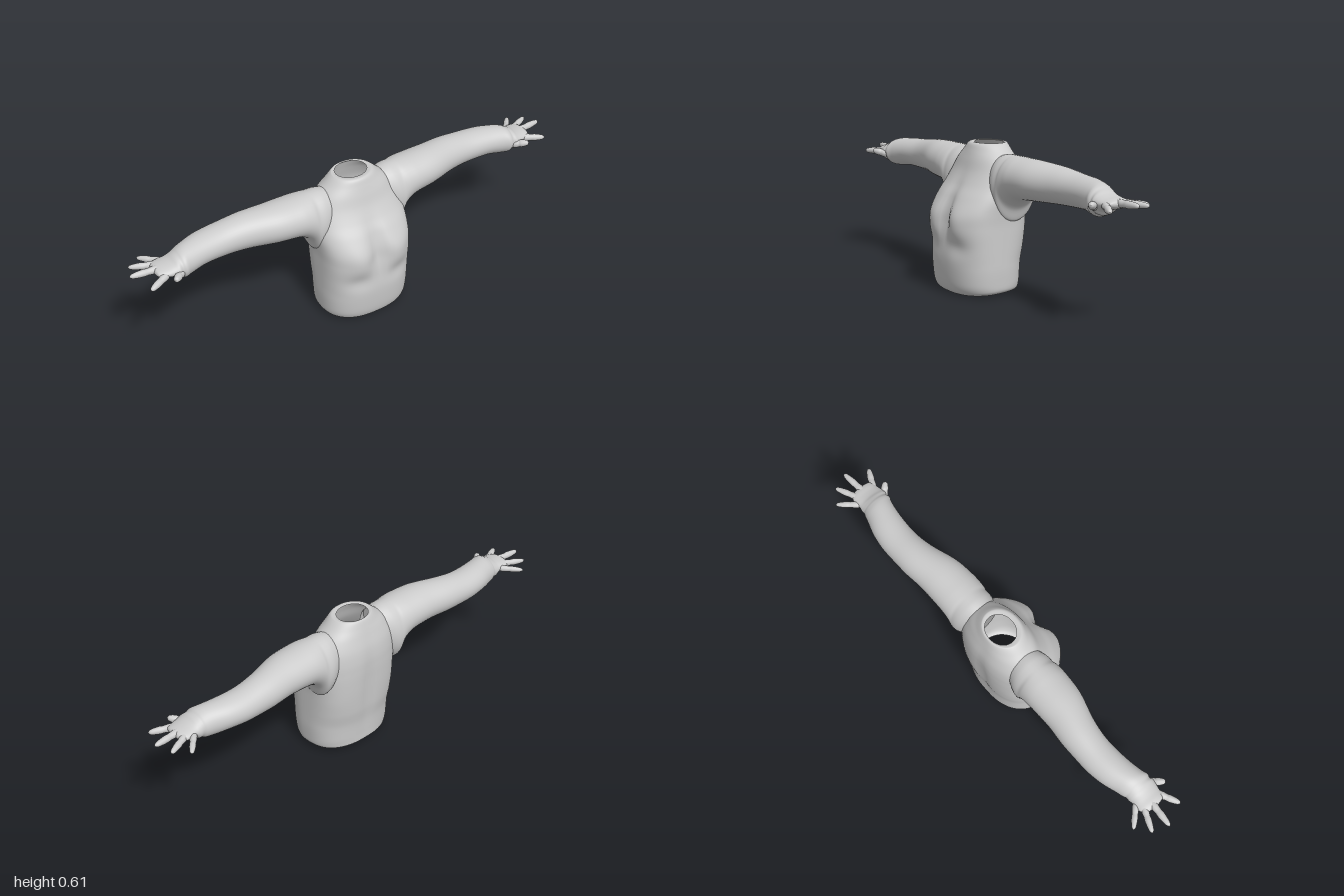
import * as THREE from 'three';

const material = new THREE.MeshStandardMaterial({ color: 0xcccccc, side: THREE.DoubleSide });
const gauss = (d, w) => Math.exp(-(d * d) / (w * w));

// Smooth interpolation through rows of section values, u in 0..1
function sampleRows(rows, u) {
  const f = u * (rows.length - 1);
  const i = Math.min(Math.floor(f), rows.length - 2);
  const t = f - i;
  const row = (k) => rows[Math.max(0, Math.min(rows.length - 1, k))];
  const [a, b, c, d] = [row(i - 1), row(i), row(i + 1), row(i + 2)];
  return b.map((p, k) => {
    // tangents limited so the outline never overshoots
    const m = (l, p0, r) => ((p0 - l) * (r - p0) <= 0 ? 0 : (r - l) / 2);
    const m1 = m(a[k], p, c[k]);
    const m2 = m(p, c[k], d[k]);
    const t2 = t * t, t3 = t2 * t;
    return (2 * t3 - 3 * t2 + 1) * p + (t3 - 2 * t2 + t) * m1 + (3 * t2 - 2 * t3) * c[k] + (t3 - t2) * m2;
  });
}

// Closed rings joined into a tube with open ends
function loft(point, rings, sides, flip = false) {
  const pos = [], index = [];
  for (let r = 0; r <= rings; r++) {
    for (let s = 0; s < sides; s++) pos.push(...point(r / rings, (s / sides) * Math.PI * 2));
  }
  for (let r = 0; r < rings; r++) {
    for (let s = 0; s < sides; s++) {
      const n = (s + 1) % sides;
      const a = r * sides + s, b = r * sides + n, c = a + sides, d = b + sides;
      if (flip) index.push(a, c, b, b, c, d);
      else index.push(a, b, c, b, d, c);
    }
  }
  const geometry = new THREE.BufferGeometry();
  geometry.setAttribute('position', new THREE.Float32BufferAttribute(pos, 3));
  geometry.setIndex(index);
  geometry.computeVertexNormals();
  return geometry;
}

function addMesh(parent, name, geometry) {
  const mesh = new THREE.Mesh(geometry, material);
  mesh.name = name;
  parent.add(mesh);
  return mesh;
}

// Torso sections: y, half width, back z, front z, squareness
const torsoRows = [
  [0.0, 0.182, -0.139, 0.138, 2.4],
  [0.015, 0.193, -0.14, 0.155, 2.4],
  [0.05, 0.197, -0.141, 0.165, 2.5],
  [0.12, 0.2, -0.145, 0.172, 2.5],
  [0.2, 0.2, -0.155, 0.175, 2.7],
  [0.28, 0.2, -0.161, 0.173, 2.9],
  [0.34, 0.203, -0.164, 0.167, 2.8],
  [0.4, 0.208, -0.166, 0.138, 2.5],
  [0.45, 0.205, -0.165, 0.102, 2.3],
  [0.5, 0.19, -0.158, 0.073, 2.2],
  [0.55, 0.16, -0.143, 0.055, 2.1],
  [0.585, 0.122, -0.131, 0.042, 2],
  [0.608, 0.096, -0.122, 0.032, 2],
  [0.614, 0.084, -0.116, 0.02, 2],
  [0.612, 0.069, -0.11, 0.006, 2],
];

function torsoPoint(u, t) {
  const [y, w, back, front, n] = sampleRows(torsoRows, u);
  const c = Math.cos(t), s = Math.sin(t);
  const power = (v) => Math.sign(v) * Math.abs(v) ** (2 / n);
  const x = w * power(s);
  let z = (front + back) / 2 + ((front - back) / 2) * power(c);
  if (c > 0) {
    // chest: hollow between, shallow fold below, soft fullness at each side
    z -= 0.03 * gauss(x, 0.035) * gauss(y - 0.33, 0.1);
    z -= 0.012 * gauss(y - 0.2, 0.04) * gauss(Math.abs(x) - 0.1, 0.07) * c;
    z += 0.01 * gauss(Math.abs(x) - 0.095, 0.05) * gauss(y - 0.3, 0.06);
  } else {
    z += 0.009 * gauss(x, 0.03) * gauss(y - 0.3, 0.2); // spine
  }
  // hem rises towards the back
  const rise = Math.max(0, 1 - y / 0.2) * 0.025 * THREE.MathUtils.clamp((0.14 - z) / 0.28, 0, 1);
  return [x, y + rise, z];
}

// Arm and palm sections: x, bottom y, top y, back z, front z
const armRows = [
  [0.12, 0.37, 0.57, -0.12, 0.03],
  [0.17, 0.32, 0.58, -0.142, 0.05],
  [0.2, 0.31, 0.58, -0.146, 0.052],
  [0.222, 0.36, 0.58, -0.146, 0.052],
  [0.25, 0.391, 0.58, -0.146, 0.051],
  [0.29, 0.408, 0.579, -0.146, 0.049],
  [0.38, 0.416, 0.577, -0.146, 0.038],
  [0.5, 0.42, 0.567, -0.155, 0.003],
  [0.6, 0.423, 0.555, -0.155, -0.009],
  [0.69, 0.426, 0.55, -0.145, -0.004],
  [0.76, 0.42, 0.545, -0.123, 0.008],
  [0.79, 0.421, 0.538, -0.114, 0.018],
  [0.805, 0.43, 0.53, -0.108, 0.014],
  [0.82, 0.432, 0.523, -0.108, 0.02],
  [0.836, 0.45, 0.514, -0.106, 0.016],
  [0.86, 0.458, 0.507, -0.108, 0.011],
  [0.885, 0.464, 0.503, -0.104, 0.004],
  [0.9, 0.472, 0.497, -0.09, -0.008],
  [0.906, 0.483, 0.486, -0.06, -0.04],
];

// Fingers: name, knuckle, tip, radius
const fingers = [
  ['thumb', [0.81, 0.468, 0.0], [0.858, 0.484, 0.05], 0.017],
  ['indexFinger', [0.865, 0.478, -0.008], [0.957, 0.471, 0.038], 0.0155],
  ['middleFinger', [0.87, 0.487, -0.048], [0.998, 0.489, -0.06], 0.0155],
  ['ringFinger', [0.865, 0.484, -0.078], [0.973, 0.481, -0.127], 0.0145],
  ['littleFinger', [0.845, 0.48, -0.095], [0.915, 0.475, -0.172], 0.0135],
];

// Tapered finger with a slight swelling at the joint and a rounded tip
function addFinger(parent, side, [name, from, to, r]) {
  const a = new THREE.Vector3(from[0] * side, from[1], from[2]);
  const b = new THREE.Vector3(to[0] * side, to[1], to[2]);
  const length = a.distanceTo(b);
  const outline = [[0, 0], [0.9, 0.02], [1, 0.25], [0.88, 0.42], [0.95, 0.56], [0.8, 0.78], [0.55, 0.93], [0, 1]];
  const curve = new THREE.SplineCurve(outline.map(([w, h]) => new THREE.Vector2(w * r, h * length)));
  const points = curve.getPoints(24).map((p) => p.set(Math.max(0, p.x), p.y));
  const mesh = addMesh(parent, name, new THREE.LatheGeometry(points, 14));
  mesh.position.copy(a);
  mesh.quaternion.setFromUnitVectors(new THREE.Vector3(0, 1, 0), b.sub(a).normalize());
}

function createArm(side) {
  const group = new THREE.Group();
  group.name = side > 0 ? 'leftArm' : 'rightArm';
  const point = (u, t) => {
    const [x, y0, y1, z0, z1] = sampleRows(armRows, u);
    const y = (y0 + y1) / 2 + ((y1 - y0) / 2) * Math.cos(t);
    const z = (z0 + z1) / 2 + ((z1 - z0) / 2) * Math.sin(t);
    return [x * side, y, z];
  };
  addMesh(group, 'sleeveAndPalm', loft(point, 108, 40, side > 0));
  fingers.forEach((finger) => addFinger(group, side, finger));
  return group;
}

export function createModel() {
  const model = new THREE.Group();
  model.name = 'upperBody';
  addMesh(model, 'torso', loft(torsoPoint, 98, 80));
  for (const side of [1, -1]) model.add(createArm(side));
  return model;
}
